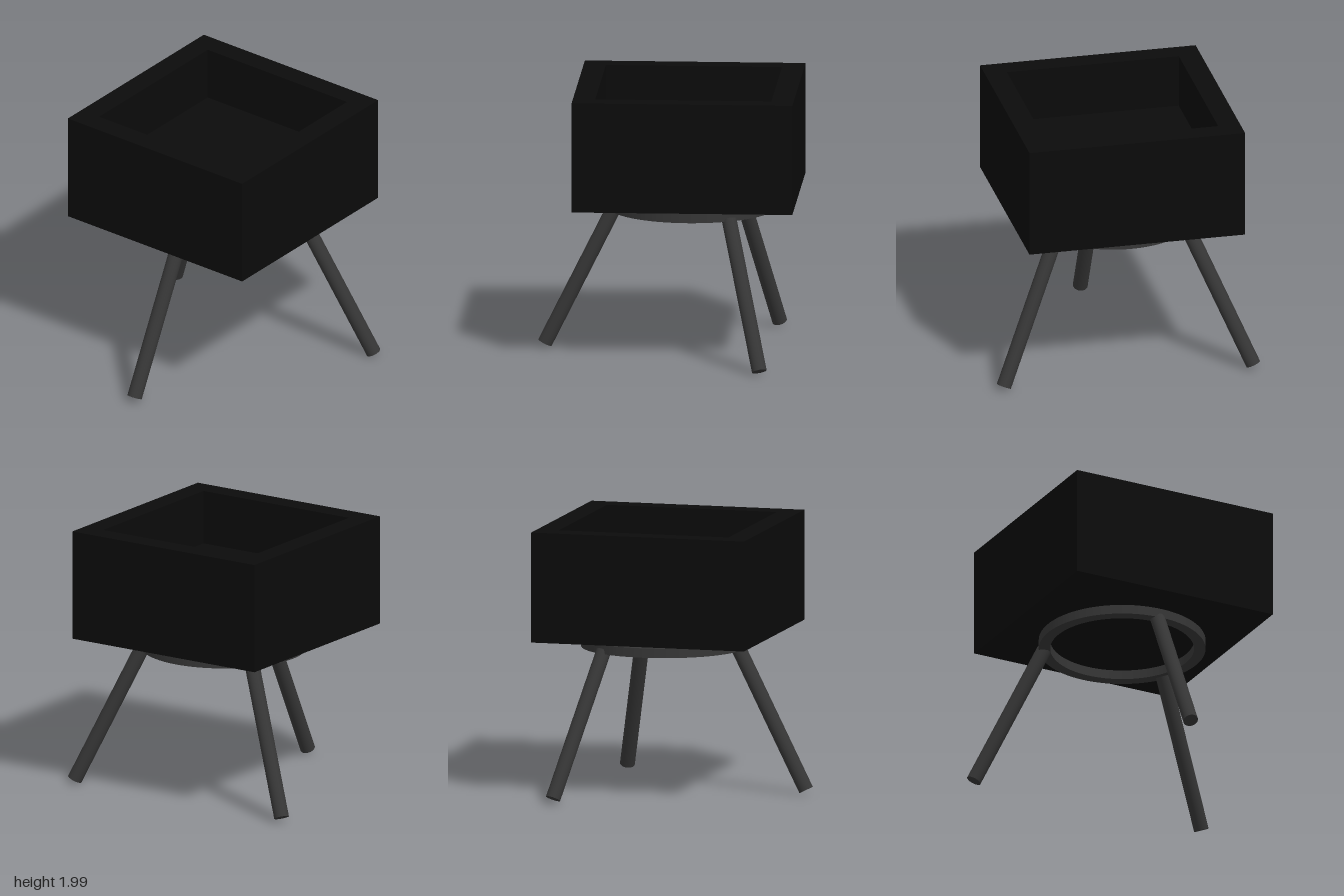
import * as THREE from 'three';

const boxMaterial = new THREE.MeshStandardMaterial({ color: 0x0b0b0b });
const standMaterial = new THREE.MeshStandardMaterial({ color: 0x363636 });

function addMesh(parent, name, geometry, material, x = 0, y = 0, z = 0) {
  const mesh = new THREE.Mesh(geometry, material);
  mesh.name = name;
  mesh.position.set(x, y, z);
  parent.add(mesh);
  return mesh;
}

// Square path of the given side, centred on the origin
function square(PathType, side) {
  const h = side / 2;
  return new PathType([[-h, -h], [h, -h], [h, h], [-h, h]].map(([x, y]) => new THREE.Vector2(x, y)));
}

// Round bar between two points
function addBar(parent, name, from, to, radius) {
  const axis = to.clone().sub(from);
  const geometry = new THREE.CylinderGeometry(radius, radius, axis.length(), 32);
  const bar = addMesh(parent, name, geometry, standMaterial);
  bar.position.copy(from).add(to).multiplyScalar(0.5);
  bar.quaternion.setFromUnitVectors(new THREE.Vector3(0, 1, 0), axis.normalize());
}

export function createModel() {
  const model = new THREE.Group();
  model.name = 'planterOnTripod';

  // Open box: thick walls around a raised floor
  const planter = new THREE.Group();
  planter.name = 'planterBox';
  planter.position.set(0.145, 1.18, -0.015);
  model.add(planter);

  const outer = 1.63, inner = 1.3, height = 0.82, floorHeight = 0.42;
  const wallShape = square(THREE.Shape, outer);
  wallShape.holes.push(square(THREE.Path, inner));
  const walls = new THREE.ExtrudeGeometry(wallShape, { depth: height, bevelEnabled: false });
  walls.rotateX(-Math.PI / 2);
  addMesh(planter, 'walls', walls, boxMaterial);
  addMesh(planter, 'floor', new THREE.BoxGeometry(inner, floorHeight, inner), boxMaterial, 0, floorHeight / 2, 0);

  // Flat support ring just below the box
  const ringShape = new THREE.Shape().absarc(0, 0, 0.615, 0, Math.PI * 2);
  ringShape.holes.push(new THREE.Path().absarc(0, 0, 0.53, 0, Math.PI * 2, true));
  const ring = new THREE.ExtrudeGeometry(ringShape, { depth: 0.07, bevelEnabled: false, curveSegments: 64 });
  ring.rotateX(-Math.PI / 2);
  addMesh(model, 'supportRing', ring, standMaterial, 0.17, 1.07, -0.013);

  // Three splayed legs: foot and top of each
  const legs = [
    ['rightLeg', [-0.915, 0.04, -0.014], [-0.39, 1.09, -0.014]],
    ['frontLeg', [0.725, 0.03, 0.94], [0.475, 1.08, 0.49]],
    ['backLeg', [0.762, 0.04, -0.937], [0.5, 1.09, -0.49]],
  ];
  for (const [name, foot, top] of legs) {
    addBar(model, name, new THREE.Vector3(...foot), new THREE.Vector3(...top), 0.055);
  }

  return model;
}
